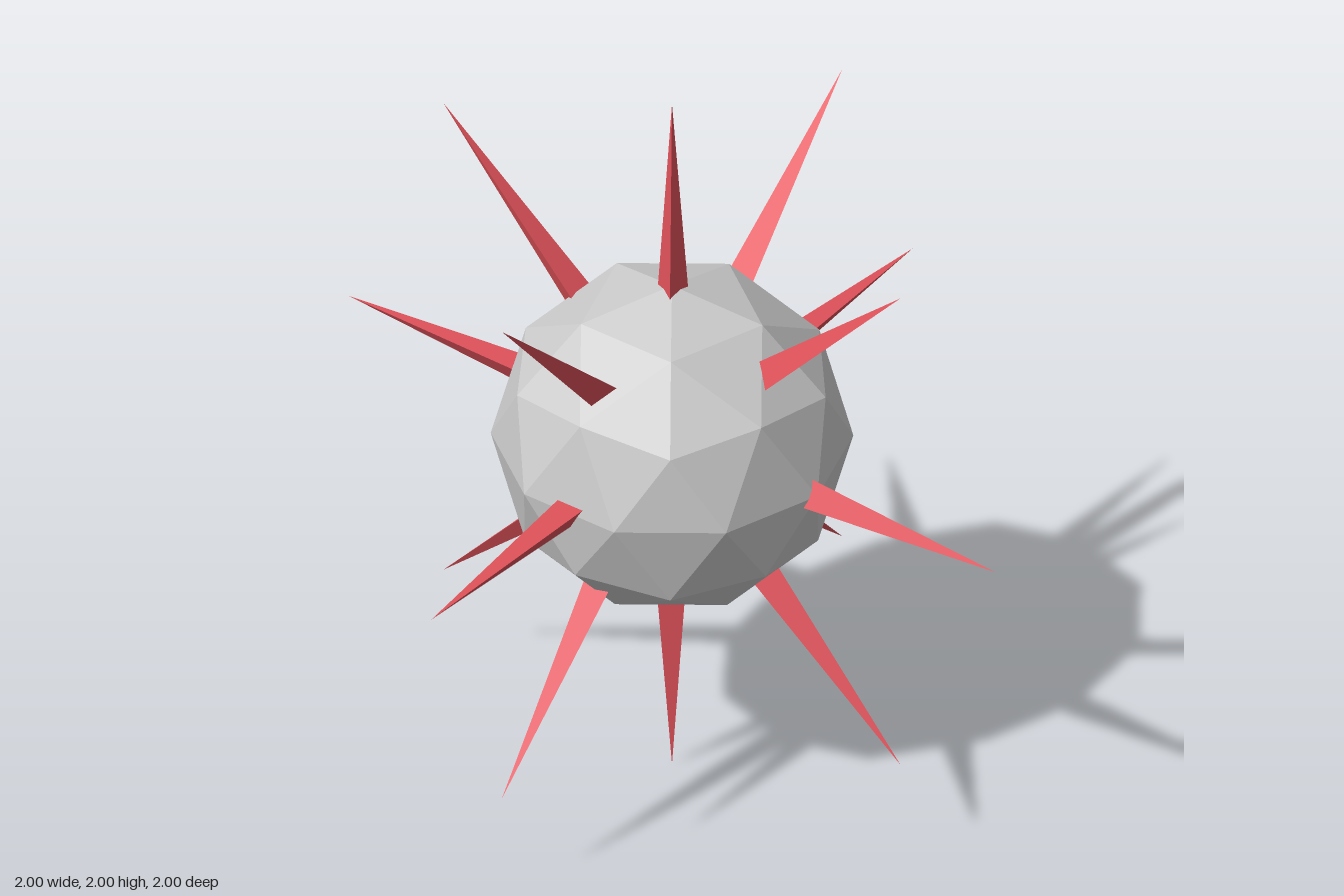
import * as THREE from 'three';

const BODY_R = 0.45, SPIKE_BASE = 0.4, SPIKE_TIP = 1, SPIKE_R = 0.046;

export function createModel() {
  const group = new THREE.Group();
  group.name = 'spikedBall';
  const grey = new THREE.MeshStandardMaterial({ color: 0xcccccc, flatShading: true });
  const red = new THREE.MeshStandardMaterial({ color: 0xe0525a, flatShading: true });

  // Faceted ball, turned so that one icosahedron corner is at the top
  const ballGeometry = new THREE.IcosahedronGeometry(BODY_R, 1);
  ballGeometry.rotateZ(-Math.atan(2 / (1 + Math.sqrt(5))));
  const ball = new THREE.Mesh(ballGeometry, grey);
  ball.name = 'ball';
  ball.position.y = 1;
  group.add(ball);

  // Three-sided spike, pointing along +y from the ball's centre
  const length = SPIKE_TIP - SPIKE_BASE;
  const spikeGeometry = new THREE.ConeGeometry(SPIKE_R, length, 3);
  spikeGeometry.translate(0, SPIKE_BASE + length / 2, 0);

  const spikes = new THREE.Group();
  spikes.name = 'spikes';
  spikes.position.y = 1;
  group.add(spikes);

  // Spike leaning from the top by angle a towards heading (hx, hz);
  // its ridge lies in that plane, turned over on the front side
  function addSpike(hx, hz, a) {
    const s = Math.sin(a), c = Math.cos(a);
    const dir = new THREE.Vector3(hx * s, c, hz * s);
    const ridge = new THREE.Vector3(hx * c, -s, hz * c).multiplyScalar(hz > 0 ? -1 : 1);
    const side = new THREE.Vector3().crossVectors(dir, ridge);
    const spike = new THREE.Mesh(spikeGeometry, red);
    spike.name = 'spike';
    spike.quaternion.setFromRotationMatrix(new THREE.Matrix4().makeBasis(side, dir, ridge));
    spikes.add(spike);
  }

  // Top and bottom spikes, then three on each of the four sides
  addSpike(0, -1, 0);
  addSpike(0, -1, Math.PI);
  for (const [hx, hz] of [[1, 0], [-1, 0], [0, 1], [0, -1]]) {
    for (let k = 1; k <= 3; k++) addSpike(hx, hz, k * Math.PI / 4);
  }
  return group;
}
